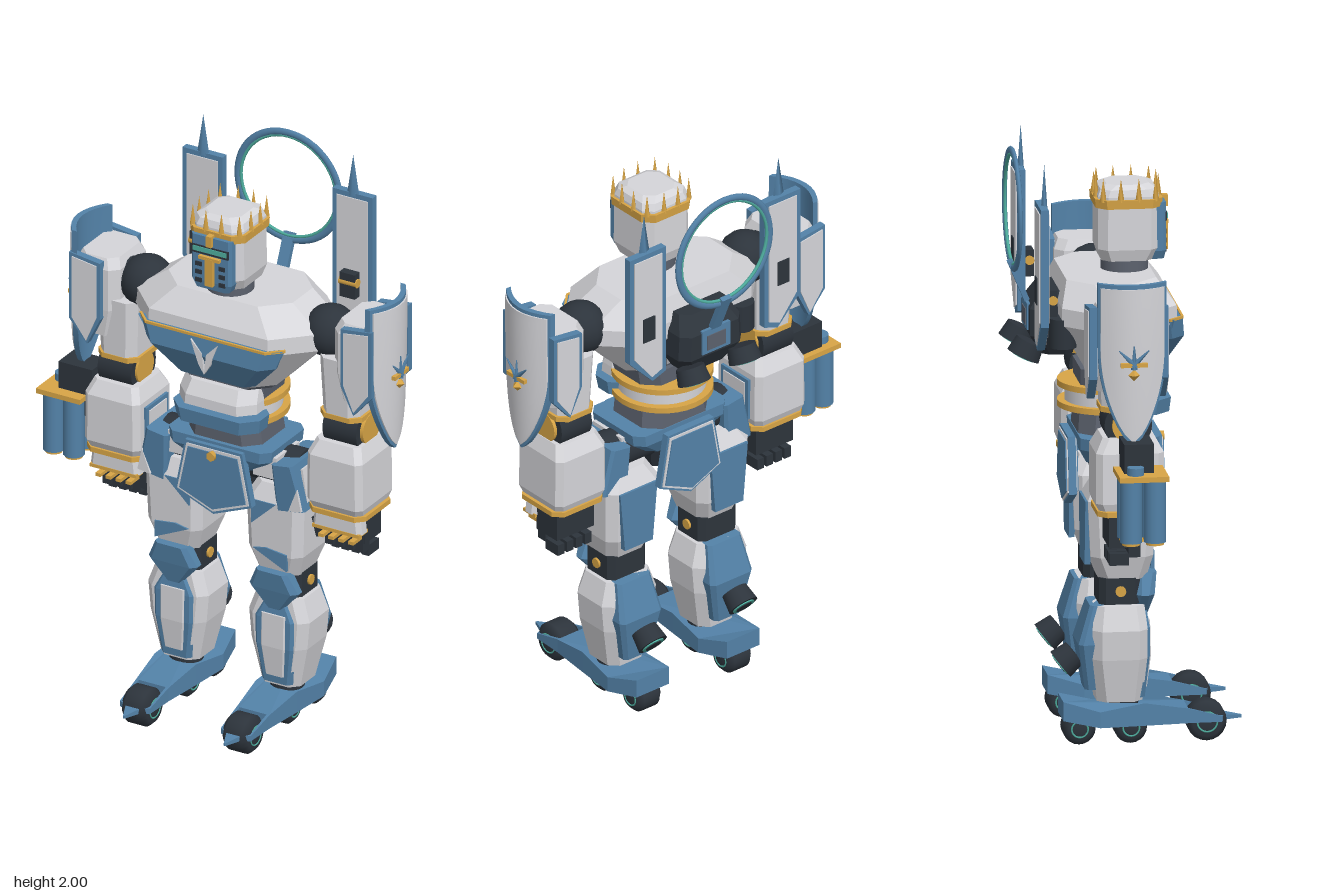
import * as THREE from 'three';

const mat = (name, color) => Object.assign(new THREE.MeshStandardMaterial({ color }), { name });
const white = mat('armour white', 0xd5d5d9), blue = mat('steel blue', 0x5382a8), dark = mat('dark metal', 0x2d343c);
const gold = mat('gold', 0xd8a546), teal = mat('teal glow', 0x4fae9f), grey = mat('joint grey', 0x5c626e);

function add(parent, name, geo, material, x = 0, y = 0, z = 0, rx = 0, ry = 0, rz = 0) {
  const m = new THREE.Mesh(geo, material);
  m.name = name;
  m.position.set(x, y, z);
  m.rotation.set(rx, ry, rz);
  parent.add(m);
  return m;
}
const box = (w, h, d) => new THREE.BoxGeometry(w, h, d);
const cyl = (r, h, n = 20, r2 = r) => new THREE.CylinderGeometry(r, r2, h, n);

// Faceted block from chamfered rectangles; each row is [y, halfWidth, zFront, zBack, chamfer]
function loft(rows) {
  const rings = rows.map(([y, w, f, b, c = 0.03]) => [
    [w - c, y, f], [w, y, f - c], [w, y, b + c], [w - c, y, b],
    [c - w, y, b], [-w, y, b + c], [-w, y, f - c], [c - w, y, f]]);
  const pos = [], tri = (...p) => p.forEach((q) => pos.push(...q));
  for (let k = 0; k < rings.length - 1; k++) for (let i = 0; i < 8; i++) {
    const j = (i + 1) % 8, lo = rings[k], hi = rings[k + 1];
    tri(lo[i], lo[j], hi[j]);
    tri(lo[i], hi[j], hi[i]);
  }
  const top = rings[rings.length - 1], bottom = rings[0];
  for (let i = 1; i < 7; i++) {
    tri(top[0], top[i], top[i + 1]);
    tri(bottom[0], bottom[i + 1], bottom[i]);
  }
  const g = new THREE.BufferGeometry();
  g.setAttribute('position', new THREE.Float32BufferAttribute(pos, 3));
  g.computeVertexNormals();
  return g;
}

const shapeOf = (pts) => new THREE.Shape(pts.map(([x, y]) => new THREE.Vector2(x, y)));
const plate = (pts, depth) => new THREE.ExtrudeGeometry(shapeOf(pts), { depth, bevelEnabled: false }).translate(0, 0, -depth / 2);

// Layered plate: each further layer is inset and slightly thicker, so it shows on both faces
function framed(parent, name, pts, x, y, z, layers, border = 0.016, ry = 0) {
  const xs = pts.map((p) => p[0]), ys = pts.map((p) => p[1]);
  const x0 = Math.min(...xs), x1 = Math.max(...xs), y0 = Math.min(...ys), y1 = Math.max(...ys);
  const cx = (x0 + x1) / 2, cy = (y0 + y1) / 2;
  layers.forEach((m, i) => {
    const kx = 1 - 2 * border * i / (x1 - x0), ky = 1 - 2 * border * i / (y1 - y0);
    const inset = pts.map(([a, b]) => [cx + (a - cx) * kx, cy + (b - cy) * ky]);
    add(parent, name + (i ? 'Panel' : 'Rim'), plate(inset, 0.026 + 0.008 * i), m, x, y, z, 0, ry);
  });
}

function thruster(parent, x, y, z, r, len, tilt) {
  const g = new THREE.Group();
  g.name = 'thruster';
  g.position.set(x, y, z);
  g.rotation.x = tilt;
  add(g, 'nozzle', cyl(r * 0.85, len, 16, r), dark);
  add(g, 'nozzleGlow', cyl(r * 0.75, 0.006, 16), teal, 0, -len / 2 - 0.001);
  add(g, 'nozzleCore', cyl(r * 0.55, 0.008, 16), dark, 0, -len / 2 - 0.002);
  parent.add(g);
}

function wheel(parent, z, r) {
  const h = 0.05, b = 0.018;
  const pts = [[0, -h], [r - b, -h], [r, b - h], [r, h - b], [r - b, h], [0, h]].map((p) => new THREE.Vector2(...p));
  add(parent, 'wheel', new THREE.LatheGeometry(pts, 20), dark, 0, r, z, 0, 0, Math.PI / 2);
  for (const x of [-h, h]) add(parent, 'wheelRing', new THREE.TorusGeometry(r * 0.5, 0.003, 4, 20), teal, x, r, z, 0, Math.PI / 2);
}

// Foot plate: plan outline with a slot for the front wheel, then raised along its length
function footGeometry() {
  const half = [[0.003, 0.385], [0.028, 0.325], [0.058, 0.312], [0.063, 0.2], [0.08, 0.05], [0.095, -0.1], [0.07, -0.22]];
  const shape = shapeOf([...half.map(([x, z]) => [x, -z]), ...half.slice().reverse().map(([x, z]) => [-x, -z])]);
  shape.holes.push(new THREE.Path([[-0.052, -0.2], [0.052, -0.2], [0.052, -0.306], [-0.052, -0.306]].map((p) => new THREE.Vector2(...p))));
  const g = new THREE.ExtrudeGeometry(shape, { depth: 1, bevelEnabled: false }).rotateX(-Math.PI / 2);
  const tops = [[-0.22, 0.155], [-0.1, 0.122], [0.05, 0.145], [0.2, 0.118], [0.312, 0.088], [0.385, 0.078]];
  const p = g.attributes.position;
  for (let i = 0; i < p.count; i++) {
    const z = p.getZ(i), k = Math.max(1, tops.findIndex((t) => z <= t[0] + 1e-4));
    const [z0, y0] = tops[k - 1], [z1, y1] = tops[k];
    const top = y0 + (y1 - y0) * (z - z0) / (z1 - z0);
    p.setY(i, p.getY(i) > 0.5 ? top : z < -0.2 ? 0.09 : 0.068);
  }
  g.computeVertexNormals();
  return g;
}

// Curved shield: a thin box rounded to a point at the foot and bowed across its width
function shieldGeometry(s, size, thick) {
  const g = new THREE.BoxGeometry(thick, 1, 2, 1, 20, 8), p = g.attributes.position;
  for (let i = 0; i < p.count; i++) {
    const t = p.getY(i) + 0.5, u = p.getZ(i);
    const w = 0.115 * (t < 0.6 ? Math.max(0.03, Math.sin(t / 0.6 * Math.PI / 2) ** 0.65) : 1) * size;
    const bow = 0.045 * (u * w / 0.115) ** 2 + 0.015 * (1 - t) ** 2;
    p.setXYZ(i, p.getX(i) - s * bow, (t - 0.5) * 0.55 * (size * 0.7 + 0.3), u * w);
  }
  g.computeVertexNormals();
  return g;
}

function buildLeg(body, s) {
  const leg = new THREE.Group(), q = Math.PI / 2;
  leg.name = s > 0 ? 'leftLeg' : 'rightLeg';
  leg.position.x = s * 0.195;
  body.add(leg);
  add(leg, 'foot', footGeometry(), blue);
  for (const [z, r] of [[0.265, 0.067], [0.01, 0.055], [-0.162, 0.055]]) wheel(leg, z, r);
  add(leg, 'ankle', cyl(0.06, 0.08), dark, 0, 0.13, -0.02);
  add(leg, 'shin', loft([[0.15, 0.075, 0.048, -0.105], [0.3, 0.108, 0.06, -0.125], [0.4, 0.117, 0.06, -0.125], [0.48, 0.09, 0.052, -0.115]]), white);
  add(leg, 'shinGuard', loft([[0.16, 0.058, 0.056, 0, 0.015], [0.3, 0.078, 0.07, 0, 0.015], [0.4, 0.08, 0.07, 0, 0.015], [0.46, 0.05, 0.062, 0, 0.015]]), blue);
  add(leg, 'shinStrip', loft([[0.19, 0.034, 0.065, 0.03, 0.004], [0.3, 0.045, 0.077, 0.03, 0.004], [0.42, 0.046, 0.074, 0.03, 0.004]]), white);
  add(leg, 'calfPlate', loft([[0.19, 0.055, -0.08, -0.145, 0.012], [0.35, 0.09, -0.08, -0.17, 0.015], [0.48, 0.07, -0.08, -0.13, 0.012]]), blue);
  thruster(leg, 0, 0.287, -0.197, 0.054, 0.06, 0.9);
  add(leg, 'kneeJoint', loft([[0.485, 0.082, 0.04, -0.1, 0.02], [0.575, 0.082, 0.04, -0.1, 0.02]]), dark);
  add(leg, 'kneeHub', cyl(0.018, 0.18, 12), gold, 0, 0.53, -0.03, 0, 0, q);
  add(leg, 'kneeCap', loft([[0.44, 0.03, 0.068, 0.02, 0.01], [0.515, 0.094, 0.085, 0.02, 0.02], [0.585, 0.06, 0.095, 0.03, 0.015]]), blue);
  add(leg, 'thigh', loft([[0.57, 0.08, 0.06, -0.1], [0.65, 0.105, 0.08, -0.13], [0.84, 0.112, 0.085, -0.14], [0.9, 0.08, 0.06, -0.11]]), white);
  add(leg, 'thighPatch', plate([[0.07 * -s, 0.66], [0.06 * s, 0.6], [0.06 * s, 0.66], [-0.02 * s, 0.67]], 0.012), blue, 0, 0, 0.08);
  add(leg, 'thighUpperPatch', plate([[0.075 * -s, 0.84], [0.02 * s, 0.84], [-0.075 * s, 0.75]], 0.008), blue, 0, 0, 0.085);
  add(leg, 'thighBackPlate', plate([[-0.06, 0.62], [0.06, 0.62], [0.08, 0.84], [-0.08, 0.84]], 0.02), blue, 0, 0, -0.138);
  add(leg, 'hipJoint', cyl(0.07, 0.2), dark, -s * 0.03, 0.94, -0.02, 0, 0, q);
  add(leg, 'hipBlock', box(0.09, 0.08, 0.15), white, -s * 0.03, 0.965, 0.0);
  // Hip skirt flaring outwards
  const hip = new THREE.Group();
  hip.name = 'hipSkirt';
  hip.position.set(s * 0.06, 0.912, 0);
  hip.rotation.z = s * 0.15;
  leg.add(hip);
  add(hip, 'hipPlate', loft([[-0.085, 0.056, 0.085, -0.115, 0.01], [0.085, 0.042, 0.1, -0.12, 0.01]]), blue);
  add(hip, 'hipCorner', plate([[s * 0.05, -0.08], [s * 0.045, 0.0], [0.0, -0.08]], 0.01), white, 0, 0, 0.089);
  add(hip, 'hipPanel', box(0.008, 0.12, 0.13), white, s * 0.05, 0, -0.01);
}

function buildArm(body, s) {
  const arm = new THREE.Group(), q = Math.PI / 2;
  arm.name = s > 0 ? 'leftArm' : 'rightArm';
  body.add(arm);
  add(arm, 'shoulderJoint', new THREE.SphereGeometry(0.092, 16, 10), dark, s * 0.355, 1.475, -0.035);
  add(arm, 'shoulderAxle', cyl(0.07, 0.1), dark, s * 0.39, 1.475, -0.035, 0, 0, q);
  add(arm, 'upperArm', loft([[1.2, 0.07, 0.05, -0.12], [1.42, 0.078, 0.06, -0.13]]), white, s * 0.43);
  add(arm, 'shoulderBlock', loft([[1.28, 0.065, 0.06, -0.145], [1.38, 0.085, 0.068, -0.155], [1.53, 0.085, 0.068, -0.155], [1.565, 0.07, 0.05, -0.14]]), white, s * 0.5);
  const pauldron = [[0.07, 1.575], [-0.05, 1.56], [-0.05, 1.35], [0, 1.25], [0.07, 1.33]].map(([x, y]) => [s * x, y]);
  for (const z of [0.075, -0.163]) framed(arm, 'pauldron', pauldron, s * 0.515, 0, z, [blue, white], 0.013);
  add(arm, 'shieldMount', box(0.06, 0.1, 0.1), dark, s * 0.57, 1.42, -0.035);
  add(arm, 'shieldRim', shieldGeometry(s, 1, 0.02), blue, s * 0.612, 1.38, -0.032);
  add(arm, 'shieldFace', shieldGeometry(s, 0.93, 0.02), white, s * 0.617, 1.38, -0.032);
  // Abstract shield ornament
  for (const a of [-0.8, 0, 0.8]) add(arm, 'ornamentRay', cyl(0.002, 0.08, 4, 0.011), blue, s * 0.627, 1.4 + 0.01 * Math.cos(a), -0.032 + 0.03 * Math.sin(a), a);
  add(arm, 'ornamentBar', box(0.014, 0.014, 0.09), gold, s * 0.626, 1.385, -0.032);
  add(arm, 'ornamentGem', new THREE.OctahedronGeometry(0.02), gold, s * 0.622, 1.35, -0.032);
  // Elbow and forearm
  add(arm, 'elbow', cyl(0.08, 0.13), dark, s * 0.435, 1.15, -0.035, 0, 0, q);
  add(arm, 'elbowDisc', cyl(0.055, 0.15), gold, s * 0.437, 1.15, -0.035, 0, 0, q);
  add(arm, 'elbowBand', loft([[1.195, 0.08, 0.053, -0.125], [1.213, 0.08, 0.053, -0.125]]), gold, s * 0.43);
  add(arm, 'forearm', loft([[0.865, 0.1, 0.07, -0.135, 0.02], [0.89, 0.108, 0.082, -0.145, 0.02], [1.06, 0.106, 0.082, -0.145, 0.02], [1.11, 0.085, 0.055, -0.12, 0.02]]), white, s * 0.43);
  framed(arm, 'forearmInner', [[-0.07, 0.89], [0.07, 0.89], [0.07, 1.04], [-0.07, 1.04]], s * 0.327, 0, -0.032, [blue, white], 0.015, q);
  add(arm, 'cuff', loft([[0.845, 0.11, 0.075, -0.14], [0.863, 0.11, 0.075, -0.14]]), gold, s * 0.43);
  add(arm, 'handGuard', loft([[0.79, 0.095, 0.06, 0.0, 0.015], [0.85, 0.088, 0.06, 0.0, 0.015]]), white, s * 0.43);
  add(arm, 'handTrim', box(0.18, 0.012, 0.06), gold, s * 0.43, 0.788, 0.032);
  add(arm, 'palm', box(0.16, 0.11, 0.105), dark, s * 0.43, 0.79, -0.048);
  for (let i = 0; i < 4; i++) {
    const x = s * (0.372 + i * 0.039);
    add(arm, 'finger', box(0.03, 0.07, 0.04), dark, x, 0.735, -0.015);
    add(arm, 'fingertip', box(0.028, 0.04, 0.065), dark, x, 0.693, -0.065);
    add(arm, 'knuckle', box(0.02, 0.012, 0.06), gold, x, 0.757, 0.03);
  }
  add(arm, 'thumb', box(0.03, 0.07, 0.035), dark, s * 0.335, 0.76, 0, 0, 0, s * 0.25);
}

function buildHead(body) {
  const head = new THREE.Group();
  head.name = 'head';
  body.add(head);
  add(head, 'neck', cyl(0.08, 0.1), grey, 0, 1.585, 0.02);
  add(head, 'helmet', loft([[1.61, 0.088, 0.11, -0.065], [1.65, 0.1, 0.128, -0.078], [1.83, 0.098, 0.127, -0.077], [1.853, 0.09, 0.118, -0.068], [1.866, 0.068, 0.095, -0.045]]), white);
  add(head, 'crownBand', loft([[1.792, 0.106, 0.136, -0.086, 0.035], [1.822, 0.108, 0.138, -0.088, 0.035]]), gold);
  const spike = new THREE.ConeGeometry(0.012, 0.08, 4);
  for (const t of [-0.09, -0.03, 0.03, 0.09]) {
    const inset = Math.abs(t) > 0.05 ? 0.016 : 0;
    for (const z of [0.129 - inset, -0.079 + inset]) add(head, 'crownSpike', spike, gold, t, 1.855, z);
    if (!inset) for (const x of [-0.1, 0.1]) add(head, 'crownSpike', spike, gold, x, 1.855, 0.025 + t);
  }
  add(head, 'facePlate', loft([[1.61, 0.065, 0.145, 0.08, 0.01], [1.64, 0.078, 0.15, 0.08, 0.01], [1.805, 0.078, 0.15, 0.08, 0.01]]), blue);
  add(head, 'visorSlot', box(0.14, 0.03, 0.008), dark, 0, 1.755, 0.15);
  add(head, 'visorGlow', box(0.13, 0.017, 0.01), teal, 0, 1.757, 0.152);
  add(head, 'noseGuard', box(0.03, 0.1, 0.022), gold, 0, 1.68, 0.153);
  add(head, 'browBar', box(0.08, 0.012, 0.02), gold, 0, 1.73, 0.153);
  add(head, 'browCrest', box(0.02, 0.04, 0.024), gold, 0, 1.795, 0.152);
  for (const s of [-1, 1]) for (let i = 0; i < 3; i++) add(head, 'vent', box(0.024, 0.015, 0.008), dark, s * 0.045, 1.64 + i * 0.03, 0.15);
}

function buildTorso(body) {
  const torso = new THREE.Group();
  torso.name = 'torso';
  body.add(torso);
  add(torso, 'chest', loft([[1.26, 0.19, 0.1, -0.13, 0.06], [1.43, 0.355, 0.167, -0.22, 0.125], [1.49, 0.355, 0.164, -0.22, 0.125], [1.57, 0.24, 0.105, -0.195, 0.085]]), white);
  add(torso, 'chestUnderside', loft([[1.245, 0.17, 0.1, -0.12, 0.06], [1.262, 0.188, 0.1, -0.128, 0.06]]), grey);
  add(torso, 'breastPlate', loft([[1.275, 0.15, 0.14, 0.05, 0.03], [1.38, 0.25, 0.192, 0.09, 0.045], [1.45, 0.28, 0.184, 0.1, 0.05]]), blue);
  add(torso, 'breastTrim', box(0.46, 0.009, 0.008), gold, 0, 1.449, 0.183);
  for (const s of [-1, 1]) {
    add(torso, 'breastTrimEnd', box(0.072, 0.009, 0.008), gold, s * 0.254, 1.449, 0.159, 0, s * Math.PI / 4);
    add(torso, 'breastOrnament', plate([[0, 1.315], [s * 0.022, 1.35], [s * 0.052, 1.435], [s * 0.008, 1.39]], 0.012), white, 0, 0, 0.187);
  }
  // Waist
  add(torso, 'waistCore', loft([[1.0, 0.145, 0.1, -0.15, 0.05], [1.12, 0.13, 0.1, -0.14, 0.05], [1.25, 0.15, 0.1, -0.14, 0.05]]), grey);
  add(torso, 'waistBlueBand', loft([[1.1, 0.16, 0.155, 0, 0.05], [1.15, 0.168, 0.16, 0, 0.05]]), blue);
  add(torso, 'waistWhiteBand', loft([[1.165, 0.15, 0.15, 0, 0.05], [1.2, 0.148, 0.148, 0, 0.05], [1.247, 0.14, 0.12, 0, 0.05]]), white);
  for (const y of [1.115, 1.185]) add(torso, 'waistRing', cyl(0.172, 0.02, 32), gold, 0, y, -0.033);
  add(torso, 'waistBack', cyl(0.15, 0.05, 32), white, 0, 1.15, -0.03);
  // Pelvis and skirts
  add(torso, 'belt', loft([[0.93, 0.12, 0.08, -0.12], [0.99, 0.195, 0.115, -0.15], [1.03, 0.2, 0.115, -0.15]]), blue);
  add(torso, 'crotch', loft([[0.83, 0.06, 0.06, -0.08], [0.96, 0.09, 0.08, -0.11]]), dark);
  const skirt = [[-0.11, 1.02], [0.11, 1.02], [0.148, 0.83], [0, 0.77], [-0.148, 0.83]];
  framed(torso, 'frontSkirt', skirt, 0, 0, 0.118, [blue, white, blue], 0.01);
  framed(torso, 'backSkirt', skirt.map(([x, y]) => [x * 0.9, y]), 0, 0, -0.17, [blue, white, blue], 0.009);
  add(torso, 'beltGem', cyl(0.017, 0.02, 6), gold, 0, 0.99, 0.142, Math.PI / 2);
}

function buildBack(body) {
  const back = new THREE.Group();
  back.name = 'backpack';
  body.add(back);
  add(back, 'pack', loft([[1.3, 0.09, -0.16, -0.27], [1.37, 0.135, -0.16, -0.31], [1.46, 0.13, -0.16, -0.31], [1.52, 0.1, -0.16, -0.27]]), dark);
  add(back, 'packPlate', box(0.12, 0.09, 0.02), blue, 0, 1.425, -0.305);
  add(back, 'packPanel', box(0.08, 0.055, 0.024), grey, 0, 1.42, -0.306);
  add(back, 'haloStrut', box(0.04, 0.15, 0.018), blue, 0, 1.535, -0.335, -0.4);
  add(back, 'halo', new THREE.TorusGeometry(0.197, 0.013, 8, 48).scale(1, 1, 0.65), blue, 0, 1.78, -0.355);
  add(back, 'haloGlow', new THREE.TorusGeometry(0.184, 0.006, 6, 48), teal, 0, 1.78, -0.355);
  for (const s of [-1, 1]) {
    thruster(back, s * 0.11, 1.33, -0.322, 0.058, 0.055, 0.45);
    add(back, 'shoulderVent', cyl(0.046, 0.1, 16), dark, s * 0.19, 1.4, -0.212);
    add(back, 'wingPivot', box(0.06, 0.09, 0.04), dark, s * 0.29, 1.53, -0.268);
    add(back, 'wingHub', cyl(0.016, 0.068, 12), gold, s * 0.29, 1.54, -0.262, 0, 0, Math.PI / 2);
    framed(back, 'wing', [[-s * 0.078, 1.86], [s * 0.078, 1.86], [s * 0.078, 1.46], [-s * 0.02, 1.36], [-s * 0.078, 1.38]], s * 0.29, 0, -0.296, [blue, white], 0.018);
    add(back, 'wingVent', box(0.05, 0.09, 0.008), dark, s * 0.29, 1.57, -0.313);
    add(back, 'wingSpike', new THREE.ConeGeometry(0.024, 0.15, 4).scale(1, 1, 0.45), blue, s * 0.29, 1.925, -0.288);
  }
}

// Canister launcher on the right forearm
function buildPod(body) {
  const pod = new THREE.Group();
  pod.name = 'forearmPod';
  pod.position.set(-0.64, 0, -0.01);
  body.add(pod);
  add(pod, 'podMount', box(0.13, 0.1, 0.1), dark, 0.045, 1.072, -0.01);
  add(pod, 'podBracket', box(0.07, 0.08, 0.08), dark, 0.1, 0.98, -0.01);
  add(pod, 'podPlate', box(0.17, 0.018, 0.165), gold, 0.003, 1.015);
  for (const x of [-0.038, 0.04]) for (const z of [-0.04, 0.04]) {
    add(pod, 'canister', cyl(0.037, 0.225, 16), blue, x, 0.907, z);
    add(pod, 'canisterCap', cyl(0.03, 0.012, 16), gold, x, 0.791, z);
  }
  add(pod, 'podValve', cyl(0.028, 0.03, 16), blue, -0.04, 1.035, -0.025);
}

export function createModel() {
  const root = new THREE.Group();
  root.name = 'knightRobot';
  const body = new THREE.Group();
  body.name = 'body';
  body.position.x = 0.042;
  root.add(body);
  for (const build of [buildTorso, buildHead, buildBack, buildPod]) build(body);
  for (const s of [-1, 1]) {
    buildLeg(body, s);
    buildArm(body, s);
  }
  return root;
}
